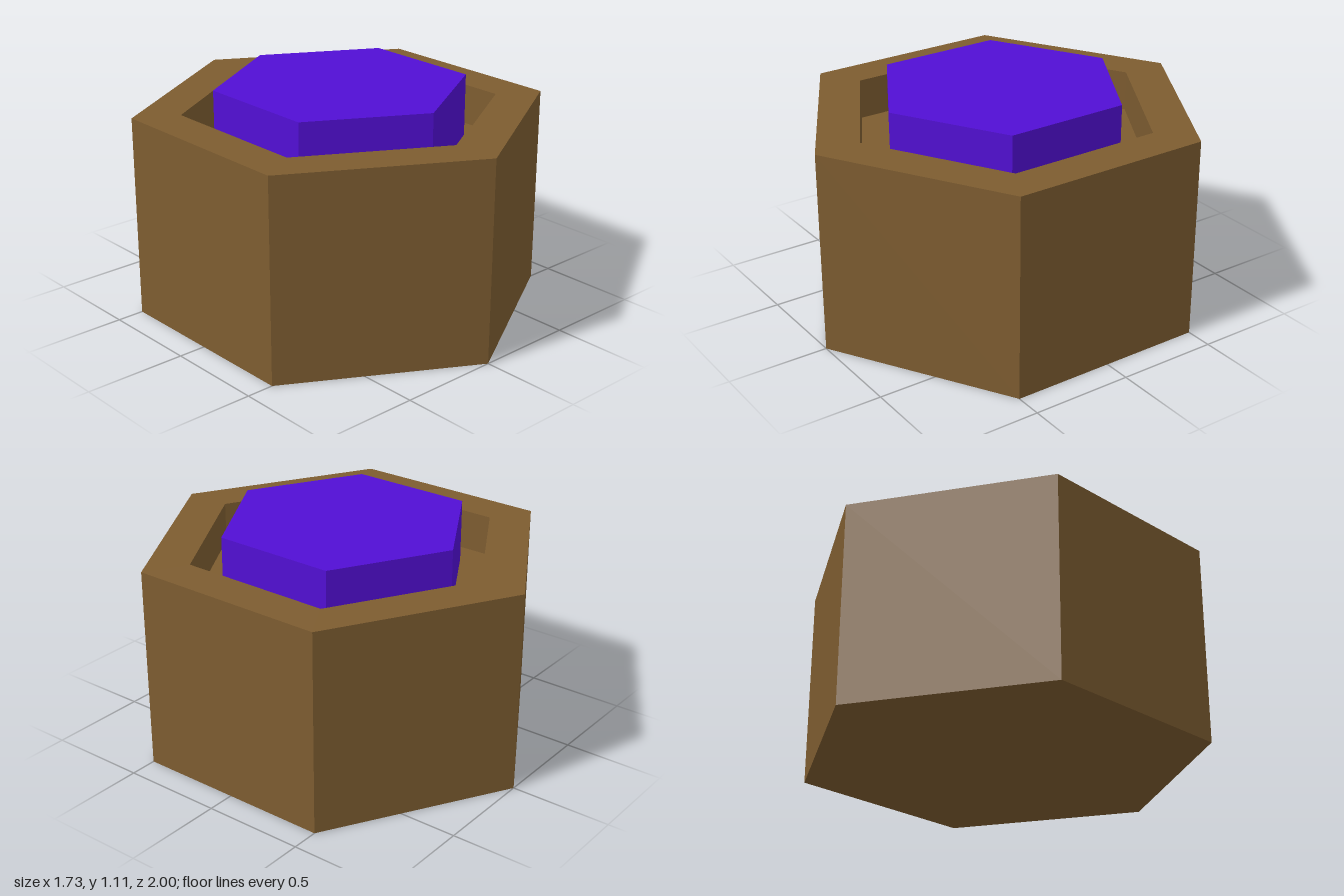
import * as THREE from 'three';

export function createModel() {
  const model = new THREE.Group();
  model.name = 'hexagonalButton';

  const brown = new THREE.MeshStandardMaterial({ name: 'brown', color: 0x7d5c30, flatShading: true });
  const purple = new THREE.MeshStandardMaterial({ name: 'purple', color: 0x520fd4, flatShading: true });

  // Six-sided housing with a shallow recess in its top
  const rim = 0.77, floor = 0.8;
  const profile = [[0, 0], [1, 0], [1, 1], [rim, 1], [rim, floor], [0, floor]]
    .map(([x, y]) => new THREE.Vector2(x, y));
  const housingGeometry = new THREE.LatheGeometry(profile, 6).toNonIndexed();
  housingGeometry.computeVertexNormals();
  const housing = new THREE.Mesh(housingGeometry, brown);
  housing.name = 'housing';

  // Hexagonal cap standing on the recess floor
  const capHeight = 0.31;
  const cap = new THREE.Mesh(new THREE.CylinderGeometry(0.615, 0.615, capHeight, 6), purple);
  cap.name = 'cap';
  cap.position.y = floor + capHeight / 2;

  model.add(housing, cap);
  return model;
}
